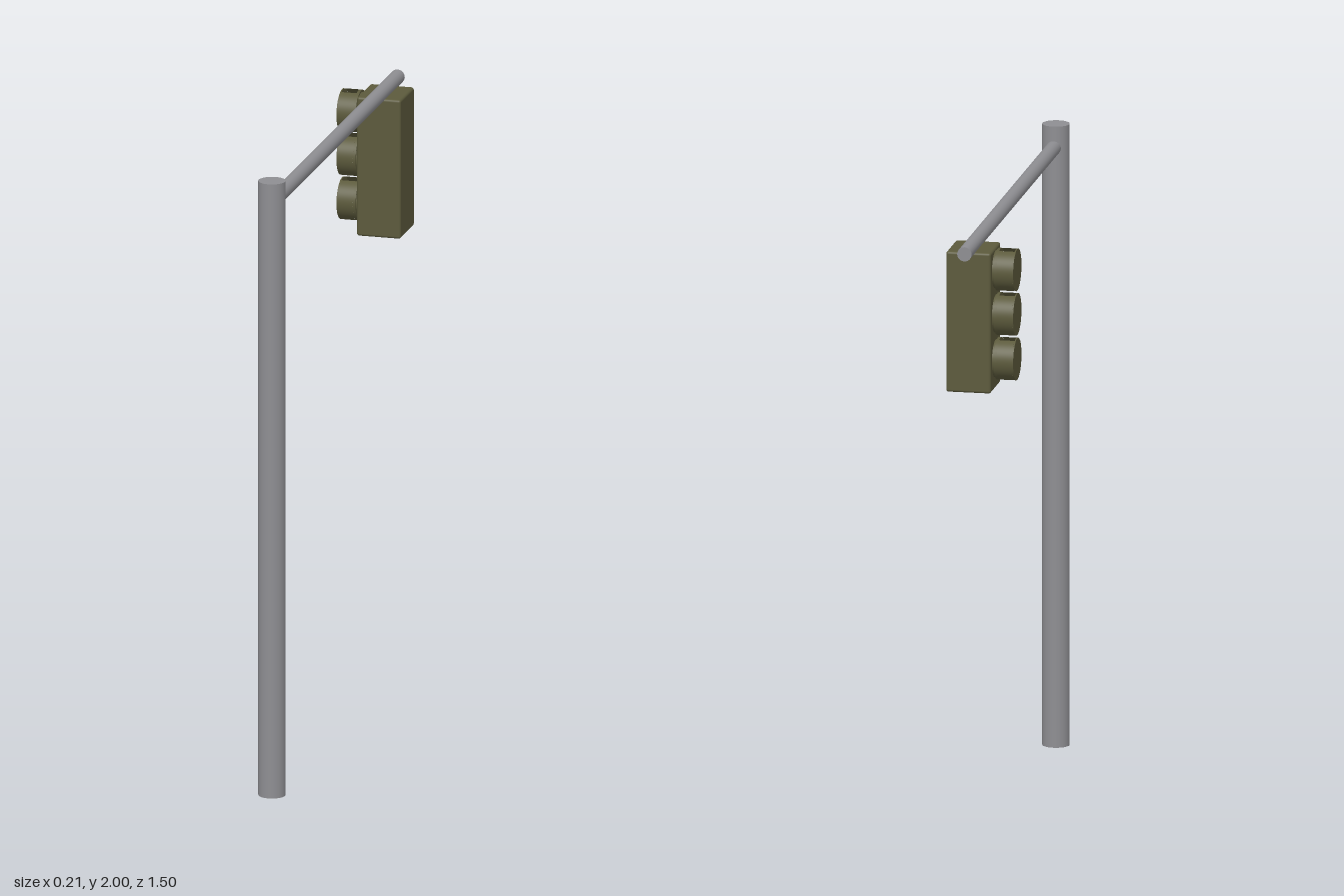
import * as THREE from 'three';
import { RoundedBoxGeometry } from 'three/addons/geometries/RoundedBoxGeometry.js';

export function createModel() {
  const model = new THREE.Group();
  model.name = 'trafficSignal';

  const steel = new THREE.MeshStandardMaterial({ color: 0x8e8e92 });
  steel.name = 'greySteel';
  const olive = new THREE.MeshStandardMaterial({ color: 0x5c5a3c, side: THREE.DoubleSide });
  olive.name = 'olivePaint';

  const add = (parent, name, geometry, material, x, y, z) => {
    const mesh = new THREE.Mesh(geometry, material);
    mesh.name = name;
    mesh.position.set(x, y, z);
    parent.add(mesh);
    return mesh;
  };

  // Upright pole and horizontal arm
  const poleX = 0.033, poleZ = 0.707;
  add(model, 'pole', new THREE.CylinderGeometry(0.043, 0.043, 2, 32), steel, poleX, 1, poleZ);
  const armLength = 1.457;
  const arm = new THREE.CylinderGeometry(0.023, 0.023, armLength, 24).rotateX(Math.PI / 2);
  add(model, 'arm', arm, steel, poleX, 1.93, poleZ - armLength / 2);

  // Signal housing hanging from the arm
  const signalZ = -0.606;
  add(model, 'housing', new RoundedBoxGeometry(0.143, 0.452, 0.16, 3, 0.008), olive, 0.0335, 1.694, signalZ);

  // Cylinder lying along x, between two x positions
  const drum = (parent, name, x0, x1, r, open = false, start = 0, length = Math.PI * 2) => {
    const g = new THREE.CylinderGeometry(r, r, x1 - x0, 32, 1, open, start, length).rotateZ(Math.PI / 2);
    return add(parent, name, g, olive, (x0 + x1) / 2, 0, 0);
  };

  // Three lamp hoods, each slotted at top and bottom
  const r = 0.067, slot = Math.asin(0.022 / r);
  for (const y of [1.852, 1.709, 1.565]) {
    const hood = new THREE.Group();
    hood.name = 'lampHood';
    hood.position.set(0, y, signalZ);
    drum(hood, 'hoodFace', -0.107, -0.103, r);
    drum(hood, 'hoodBase', -0.054, -0.045, r);
    drum(hood, 'hoodNeck', -0.045, -0.034, 0.06);
    for (const side of [0, 1]) {
      drum(hood, 'hoodShell', -0.103, -0.054, r, true,
        Math.PI * (0.5 + side) + slot, Math.PI - 2 * slot);
    }
    model.add(hood);
  }

  return model;
}
